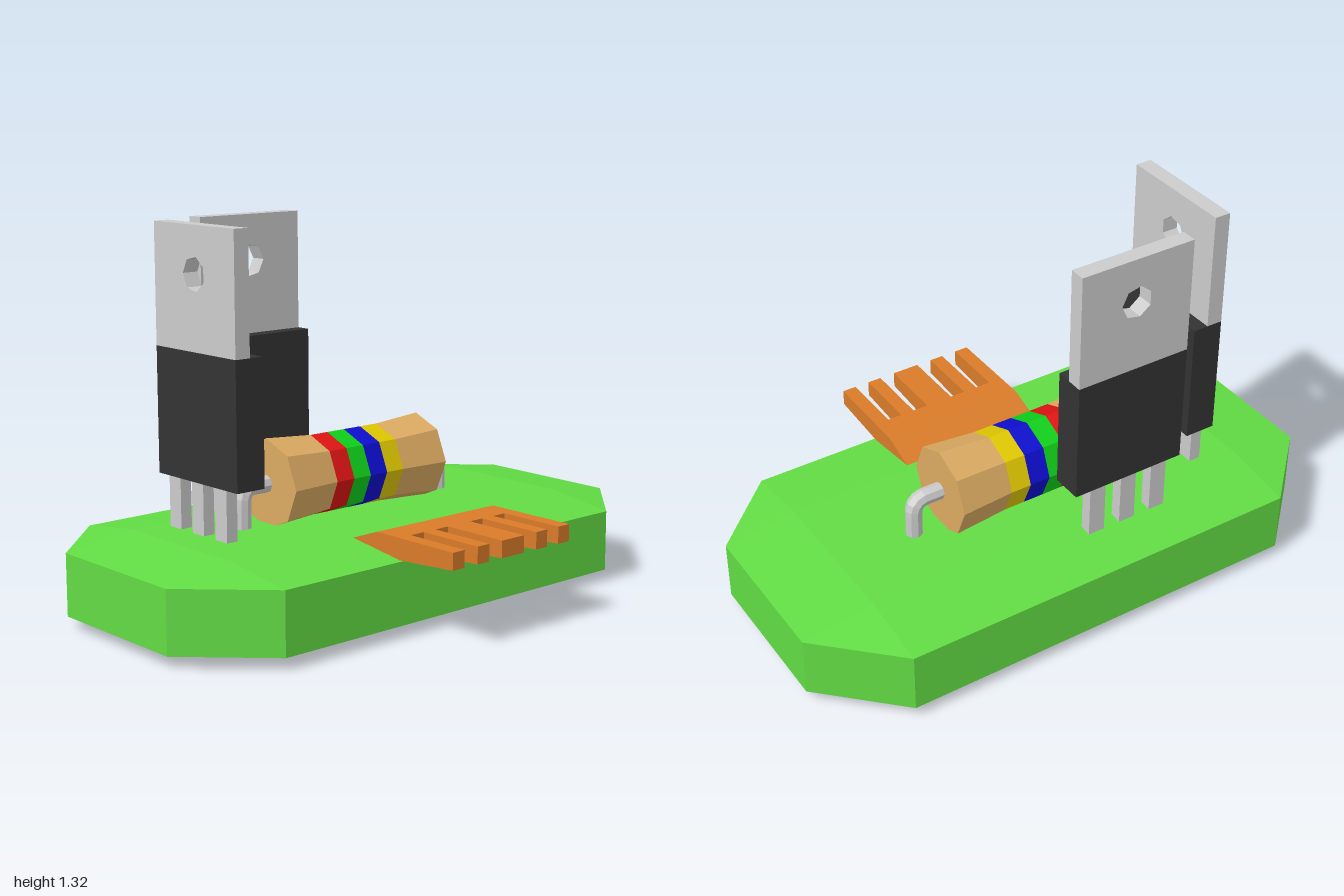
import * as THREE from 'three';
import { ConvexGeometry } from 'three/addons/geometries/ConvexGeometry.js';

const mat = (color) => new THREE.MeshStandardMaterial({ color, flatShading: true });
const GREY = mat(0xcccccc), BLACK = mat(0x333333), GREEN = mat(0x62dc44);
const COPPER = mat(0xd97b29), TAN = mat(0xdcab62);

function add(parent, name, geometry, material, x = 0, y = 0, z = 0) {
  const mesh = new THREE.Mesh(geometry, material);
  mesh.name = name;
  mesh.position.set(x, y, z);
  parent.add(mesh);
  return mesh;
}

// Extrudes an x/y outline between two z values
function prism(points, z0, z1, hole) {
  const shape = new THREE.Shape(points.map(([x, y]) => new THREE.Vector2(x, y)));
  if (hole) shape.holes.push(new THREE.Path(hole));
  return new THREE.ExtrudeGeometry(shape, { depth: z1 - z0, bevelEnabled: false }).translate(0, 0, z0);
}

// Board: box with wide, shallow chamfers on every edge
function makeBoard() {
  const points = [];
  const box = (x0, x1, y0, y1, z) => {
    for (const x of [x0, x1]) for (const y of [y0, y1]) for (const s of [-z, z]) points.push(new THREE.Vector3(x, y, s));
  };
  box(-0.65, 0.415, 0.04, 0.255, 0.74);
  box(-0.395, 0.16, 0.04, 0.255, 1);
  box(-0.395, 0.16, 0, 0.29, 0.74);
  return new ConvexGeometry(points);
}

// Transistor: black body, drilled metal tab and three legs
function makeTransistor(name) {
  const g = new THREE.Group();
  g.name = name;
  add(g, 'transistorBody', new THREE.BoxGeometry(0.428, 0.435, 0.112), BLACK, 0, 0.6825, 0);
  const hole = [];
  for (let i = 0; i < 7; i++) {
    const a = Math.PI + (i * 2 * Math.PI) / 7;
    hole.push(new THREE.Vector2(0.058 * Math.cos(a), 1.155 + 0.058 * Math.sin(a)));
  }
  const w = 0.214;
  add(g, 'transistorTab', prism([[-w, 0.9], [w, 0.9], [w, 1.315], [-w, 1.315]], -0.002, 0.056, hole), GREY);
  for (const x of [-0.125, 0, 0.125]) {
    add(g, 'transistorLeg', new THREE.BoxGeometry(0.062, 0.23, 0.043), GREY, x, 0.365, 0.0345);
  }
  return g;
}

// Resistor: eight-sided waisted body with colour bands and bent wires
function makeResistor() {
  const g = new THREE.Group();
  g.name = 'resistor';
  const R = 0.157, r = 0.142;
  const ring = (name, points, material) => {
    const geo = new THREE.LatheGeometry(points.map(([rad, z]) => new THREE.Vector2(rad, z)), 8);
    add(g, name, geo.rotateX(Math.PI / 2), material);
  };
  ring('resistorBackEnd', [[0, -0.347], [R, -0.347], [r, -0.152]], TAN);
  ring('resistorFrontEnd', [[r, 0.152], [R, 0.347], [0, 0.347]], TAN);
  [0xe0c800, 0x0e0ed0, 0x0fd01a, 0xe01414].forEach((color, i) => {
    const z = -0.152 + i * 0.076;
    ring('colourBand', [[r, z], [r, z + 0.076]], mat(color));
  });
  for (const s of [-1, 1]) {
    const path = new THREE.CurvePath();
    const p = [[0, 0.34], [0, 0.405], [0, 0.452], [-0.05, 0.452], [-0.17, 0.452]]
      .map(([y, z]) => new THREE.Vector3(0, y, s * z));
    path.add(new THREE.LineCurve3(p[0], p[1]));
    path.add(new THREE.QuadraticBezierCurve3(p[1], p[2], p[3]));
    path.add(new THREE.LineCurve3(p[3], p[4]));
    add(g, 'resistorWire', new THREE.TubeGeometry(path, 14, 0.03, 8), GREY);
  }
  return g;
}

// Edge connector: wedge plate with five fingers
function makeConnector() {
  const g = new THREE.Group();
  g.name = 'connector';
  add(g, 'connectorPlate', prism([[0.17, 0.285], [0.4, 0.256], [0.4, 0.33], [0.295, 0.33]], -0.282, 0.256), COPPER);
  const finger = [[0.4, 0.256], [0.645, 0.272], [0.645, 0.33], [0.4, 0.33]];
  for (const [z0, z1] of [[-0.282, -0.23], [-0.176, -0.124], [-0.066, 0.036], [0.094, 0.146], [0.204, 0.256]]) {
    add(g, 'connectorFinger', prism(finger, z0, z1), COPPER);
  }
  return g;
}

export function createModel() {
  const model = new THREE.Group();
  model.name = 'circuitBoard';
  add(model, 'board', makeBoard(), GREEN);

  const front = makeTransistor('frontTransistor');
  front.position.set(-0.189, 0, 0.56);
  const side = makeTransistor('sideTransistor');
  side.position.set(-0.418, 0, 0.204);
  side.rotation.y = -Math.PI / 2;

  const resistor = makeResistor();
  resistor.position.set(-0.157, 0.427, 0.003);

  model.add(front, side, resistor, makeConnector());
  return model;
}
